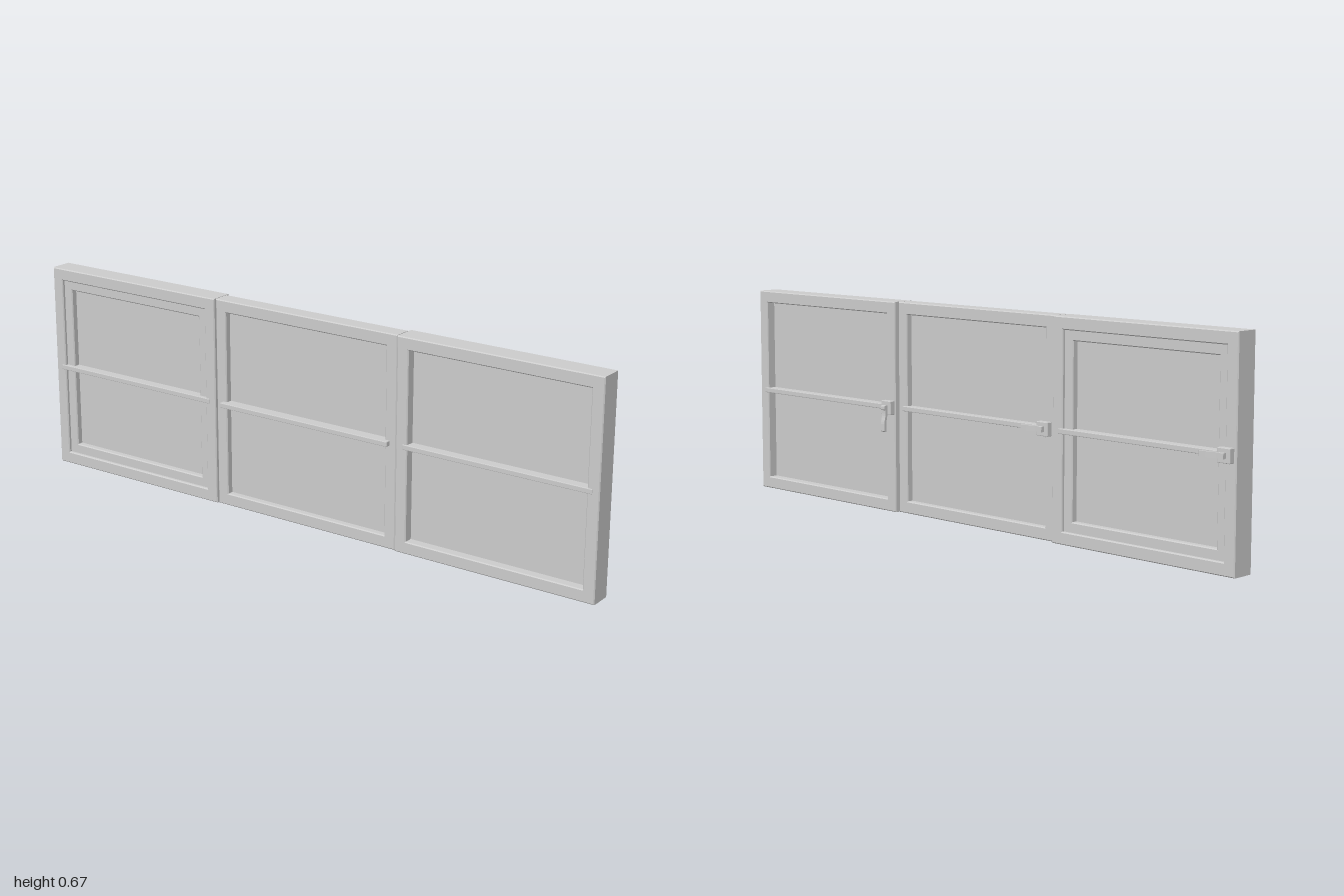
import * as THREE from 'three';
import { RoundedBoxGeometry } from 'three/addons/geometries/RoundedBoxGeometry.js';

const mat = new THREE.MeshStandardMaterial({ color: 0xcccccc, flatShading: true });
const SIZE = 0.665, MID = SIZE / 2, BEVEL = 0.003;

function add(group, name, geometry, x = 0, y = 0, z = 0) {
  const mesh = new THREE.Mesh(geometry, mat);
  mesh.name = name;
  mesh.position.set(x, y, z);
  group.add(mesh);
  return mesh;
}

function rectangle(path, w, h) {
  path.moveTo(-w / 2, -h / 2);
  path.lineTo(w / 2, -h / 2);
  path.lineTo(w / 2, h / 2);
  path.lineTo(-w / 2, h / 2);
  path.closePath();
  return path;
}

// Square ring with chamfered edges, spanning back..front in z
function frameGeometry(outer, inner, back, front) {
  const shape = rectangle(new THREE.Shape(), outer - 2 * BEVEL, outer - 2 * BEVEL);
  shape.holes.push(rectangle(new THREE.Path(), inner + 2 * BEVEL, inner + 2 * BEVEL));
  const g = new THREE.ExtrudeGeometry(shape, {
    depth: front - back - 2 * BEVEL, bevelEnabled: true,
    bevelThickness: BEVEL, bevelSize: BEVEL, bevelSegments: 1,
  });
  return g.translate(0, 0, back + BEVEL);
}

// Handle on the back face; its lever hangs down until the group is turned
function makeHandle() {
  const handle = new THREE.Group();
  handle.name = 'handle';
  add(handle, 'handleBase', new RoundedBoxGeometry(0.042, 0.044, 0.02, 1, 0.002), 0, 0, -0.008);

  // Side profile: x is the distance from the frame, y runs along the lever
  const s = new THREE.Shape();
  s.moveTo(0.016, 0.008);
  s.lineTo(0.029, 0.008);
  s.lineTo(0.031, 0.005);
  s.lineTo(0.031, -0.004);
  s.lineTo(0.027, -0.007);
  s.bezierCurveTo(0.025, -0.03, 0.031, -0.035, 0.0315, -0.05);
  s.lineTo(0.0315, -0.072);
  s.lineTo(0.029, -0.075);
  s.lineTo(0.0235, -0.075);
  s.lineTo(0.0235, -0.05);
  s.bezierCurveTo(0.023, -0.038, 0.018, -0.03, 0.018, -0.01);
  s.closePath();
  const g = new THREE.ExtrudeGeometry(s, { depth: 0.016, bevelEnabled: false, curveSegments: 6 });
  g.translate(0, 0, -0.008).rotateY(Math.PI / 2);
  add(handle, 'lever', g);
  return handle;
}

function makePanel({ name, x, back, front, barBack, barFront, sash, handleX, turn }) {
  const panel = new THREE.Group();
  panel.name = name;
  panel.position.set(x, MID, 0);
  const centre = (back + front) / 2;
  let opening = 0.588;
  add(panel, 'outerFrame', frameGeometry(SIZE, opening, back, front));

  // Inner sash of the opening window, set back from both faces
  if (sash) {
    add(panel, 'sash', frameGeometry(opening + 0.008, 0.526, back + 0.01, front - 0.01));
    opening = 0.526;
  }
  add(panel, 'pane', new THREE.BoxGeometry(opening + 0.01, opening + 0.01, 0.016), 0, 0, centre);

  // Glazing bar across the middle
  add(panel, 'glazingBar', new RoundedBoxGeometry(0.62, 0.016, barFront - barBack, 1, 0.002),
    0, 0, (barFront + barBack) / 2);

  const handle = makeHandle();
  handle.position.set(handleX - x, 0, back);
  handle.rotation.z = turn;
  panel.add(handle);
  return panel;
}

export function createModel() {
  const model = new THREE.Group();
  model.name = 'tripleWindow';
  const side = { back: -0.027, front: 0.048, barBack: -0.029, barFront: 0.05 };
  model.add(
    makePanel({ name: 'rightWindow', x: -0.6675, ...side, sash: true, handleX: -0.97, turn: Math.PI / 2 }),
    makePanel({ name: 'middleWindow', x: 0, back: -0.014, front: 0.043, barBack: -0.02, barFront: 0.059,
      handleX: -0.298, turn: Math.PI / 2 }),
    makePanel({ name: 'leftWindow', x: 0.6675, ...side, handleX: 0.359, turn: 0 }),
  );

  return model;
}
